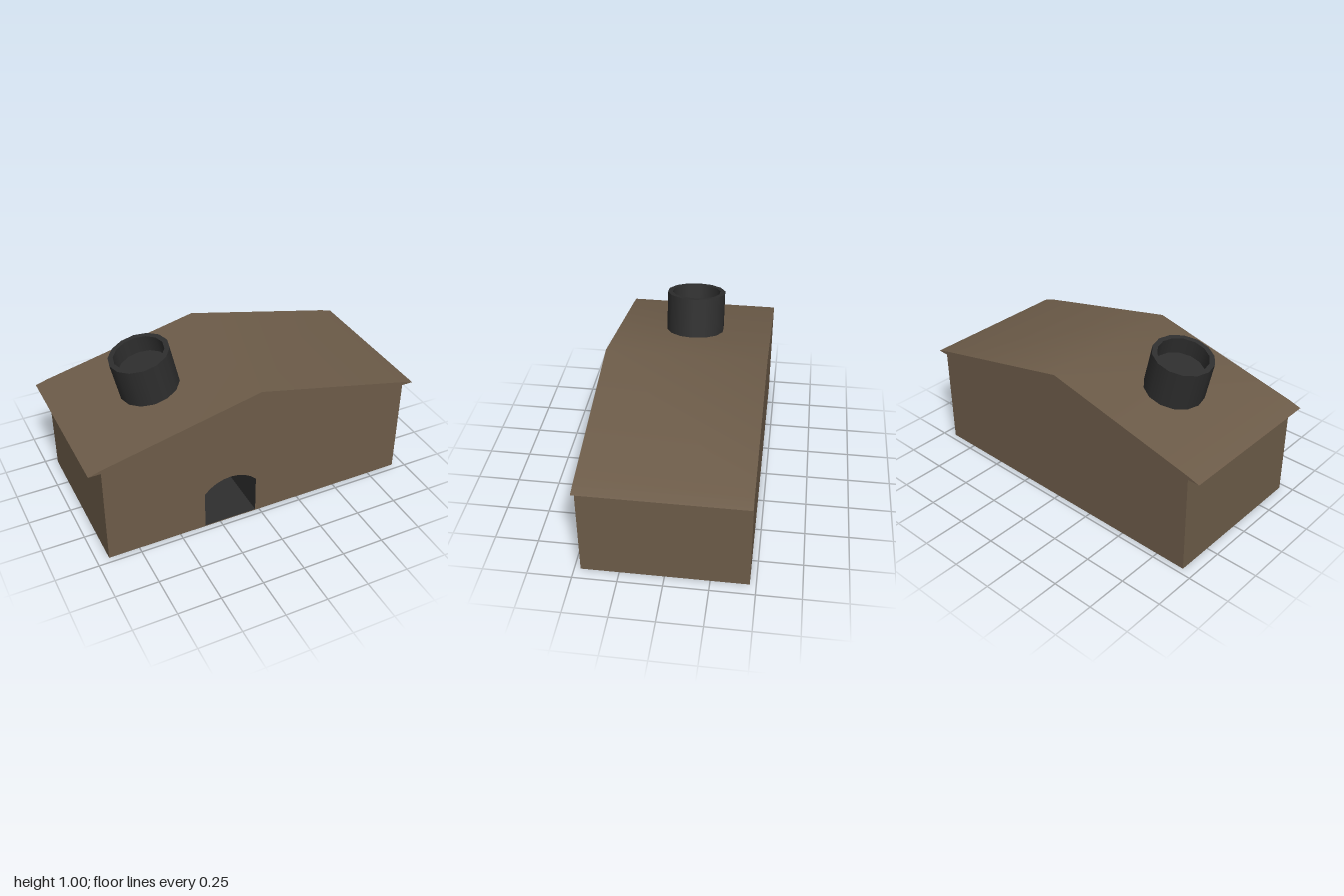
import * as THREE from 'three';

const brown = new THREE.MeshStandardMaterial({ color: 0x6d5c49 });
brown.name = 'brown wood';
const charcoal = new THREE.MeshStandardMaterial({ color: 0x2e2e2e });
charcoal.name = 'charcoal';

const FRONT = 0.465, BACK = -0.465;
const DOOR_BACK = 0.135;

function add(parent, name, geometry, material) {
  const mesh = new THREE.Mesh(geometry, material);
  mesh.name = name;
  parent.add(mesh);
  return mesh;
}

// Surface swept along z from a line of [x, y] points; it faces the right-hand side of the line
function strip(points, zFront, zBack) {
  const pos = [], index = [];
  points.forEach(([x, y], i) => {
    pos.push(x, y, zFront, x, y, zBack);
    if (i < points.length - 1) {
      const a = i * 2;
      index.push(a, a + 1, a + 2, a + 2, a + 1, a + 3);
    }
  });
  const g = new THREE.BufferGeometry();
  g.setAttribute('position', new THREE.Float32BufferAttribute(pos, 3));
  g.setIndex(index);
  g.computeVertexNormals();
  return g;
}

const toShape = (points) => new THREE.Shape(points.map(([x, y]) => new THREE.Vector2(x, y)));

export function createModel() {
  const model = new THREE.Group();
  model.name = 'house';

  // Outline of the gable, with small eaves
  const roofLine = [[1, 0.6], [0.93, 0.621], [0, 0.833], [-0.93, 0.621], [-1, 0.6]];
  const gable = [[-0.93, 0], [0.93, 0], [0.93, 0.6], ...roofLine, [-0.93, 0.6]];

  // Arched doorway outline
  const arch = [];
  const half = Math.asin(0.16 / 0.208);
  for (let i = 0; i <= 8; i++) {
    const t = -half + (2 * half * i) / 8;
    arch.push([-0.185 + 0.208 * Math.sin(t), 0.103 + 0.208 * Math.cos(t)]);
  }
  const sill = 0.005;
  const bottomLeft = [arch[0][0], sill], bottomRight = [arch[8][0], sill];
  const door = [bottomLeft, ...arch, bottomRight];

  // Gable walls
  const frontShape = toShape(gable);
  frontShape.holes.push(new THREE.Path(door.map(([x, y]) => new THREE.Vector2(x, y))));
  add(model, 'frontWall', new THREE.ShapeGeometry(frontShape), brown).position.z = FRONT;
  const backWall = add(model, 'backWall', new THREE.ShapeGeometry(toShape(gable)), brown);
  backWall.rotation.y = Math.PI;
  backWall.position.z = BACK;

  // Side walls, base, eave undersides and roof
  const outer = {
    base: [[-0.93, 0], [0.93, 0]],
    leftWall: [[0.93, 0], [0.93, 0.6]],
    rightWall: [[-0.93, 0.6], [-0.93, 0]],
    leftEave: [[0.93, 0.6], [1, 0.6]],
    rightEave: [[-1, 0.6], [-0.93, 0.6]],
    roof: roofLine,
  };
  for (const [name, line] of Object.entries(outer)) add(model, name, strip(line, FRONT, BACK), brown);

  // Dark recess behind the doorway
  const doorway = new THREE.Group();
  doorway.name = 'doorway';
  model.add(doorway);
  const inner = {
    doorRightSide: [bottomLeft, arch[0]],
    doorArch: arch,
    doorLeftSide: [arch[8], bottomRight],
    doorFloor: [bottomRight, bottomLeft],
  };
  for (const [name, line] of Object.entries(inner)) add(doorway, name, strip(line, FRONT, DOOR_BACK), charcoal);
  add(doorway, 'doorBack', new THREE.ShapeGeometry(toShape(door)), charcoal).position.z = DOOR_BACK;

  // Hollow chimney standing square to the roof slope
  const chimney = new THREE.Group();
  chimney.name = 'chimney';
  chimney.position.set(-0.467, 0.727, 0);
  chimney.rotation.z = Math.atan2(0.212, 0.93);
  model.add(chimney);
  const profile = [[0.175, -0.01], [0.175, 0.237], [0.145, 0.237], [0.145, 0.137], [0, 0.137]]
    .map(([r, y]) => new THREE.Vector2(r, y));
  ['chimneyOutside', 'chimneyRim', 'chimneyInside', 'chimneyFloor'].forEach((name, i) => {
    add(chimney, name, new THREE.LatheGeometry([profile[i], profile[i + 1]], 14, Math.PI / 2), charcoal);
  });

  return model;
}
